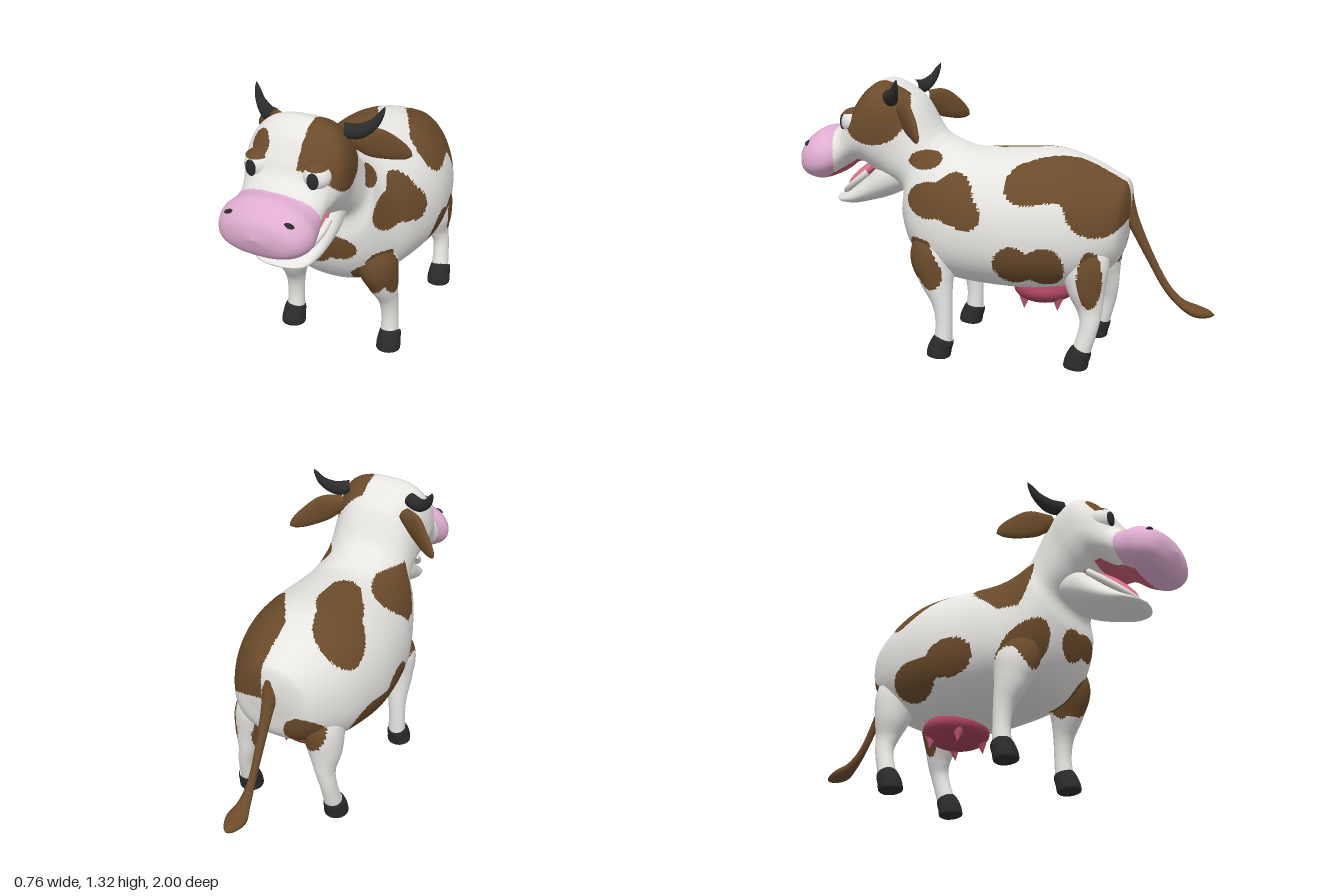
import * as THREE from 'three';

const mat = (name, color) => Object.assign(new THREE.MeshStandardMaterial({ color }), { name });

// Catmull-Rom interpolation of rows of numbers, t in 0..1
function sample(rows, t) {
  const n = rows.length - 1, f = Math.min(t * n, n - 1e-6), i = Math.floor(f), u = f - i;
  const r = k => rows[Math.max(0, Math.min(n, k))];
  return rows[0].map((_, c) => {
    const a = r(i - 1)[c], b = r(i)[c], d = r(i + 1)[c], e = r(i + 2)[c];
    return b + 0.5 * u * (d - a + u * (2 * a - 5 * b + 4 * d - e + u * (3 * (b - d) + e - a)));
  });
}

// Closed-ring skin; paint(x, y, z) picks the material index of each face
function skin(name, ring, nu, nv, materials, paint = () => 0) {
  const pos = [], faces = materials.map(() => []);
  for (let i = 0; i <= nu; i++) {
    const at = ring(i / nu);
    for (let j = 0; j < nv; j++) pos.push(...at(j / nv * Math.PI * 2));
  }
  const mid = (t, k) => (pos[t[0] * 3 + k] + pos[t[1] * 3 + k] + pos[t[2] * 3 + k]) / 3;
  for (let i = 0; i < nu; i++) for (let j = 0; j < nv; j++) {
    const a = i * nv + j, b = i * nv + (j + 1) % nv, c = a + nv, d = b + nv;
    for (const t of [[a, b, c], [b, d, c]]) faces[paint(mid(t, 0), mid(t, 1), mid(t, 2))].push(...t);
  }
  const g = new THREE.BufferGeometry();
  g.setAttribute('position', new THREE.Float32BufferAttribute(pos, 3));
  g.setIndex(faces.flat());
  g.computeVertexNormals();
  let start = 0;
  faces.forEach((f, k) => { if (f.length) g.addGroup(start, f.length, k); start += f.length; });
  const mesh = new THREE.Mesh(g, materials.length > 1 ? materials : materials[0]);
  mesh.name = name;
  return mesh;
}

// Rings spanned by a top and a bottom point: [topZ, topY, bottomZ, bottomY, halfWidth, squareness of the top]
const spow = (v, p) => Math.sign(v) * Math.abs(v) ** p;
const spineRing = rows => {
  const full = rows.map(([zt, yt, zb, yb, w, p = 0.97]) => [zt, yt, zb, yb, w, p]);
  return t => {
    const [zt, yt, zb, yb, w, top] = sample(full, t);
    return a => {
      const sin = Math.sin(a), p = sin > 0 ? top : 0.87;
      const s = spow(sin, p), k = 0.43 + s * (s > 0 ? 0.57 : 0.43);
      return [Math.max(w, 0.001) * spow(Math.cos(a), p), yb + (yt - yb) * k, zb + (zt - zb) * k];
    };
  };
};

// Tapered tube: rows [x, y, z, radius, radius across]
const tubeRing = (rows, ref) => {
  const full = rows.map(([x, y, z, r, q = r]) => [x, y, z, r, q]);
  return t => {
    const p = sample(full, t), p0 = sample(full, Math.max(0, t - 0.01)), p1 = sample(full, Math.min(1, t + 0.01));
    const T = new THREE.Vector3(p1[0] - p0[0], p1[1] - p0[1], p1[2] - p0[2]).normalize();
    const N = ref.clone().cross(T).normalize(), B = T.clone().cross(N);
    const r = Math.max(p[3], 0.001), q = Math.max(p[4], 0.001);
    return a => new THREE.Vector3(p[0], p[1], p[2])
      .addScaledVector(N, r * Math.cos(a)).addScaledVector(B, q * Math.sin(a)).toArray();
  };
};

// Coat patch: merged ovals [u, v, radiusU, radiusV], seen from the side, front or top
const planes = { side: (x, y, z) => [z, y], front: (x, y) => [x, y], top: (x, y, z) => [x, z] };
const patch = (plane, limit, ...ovals) => (x, y, z) => {
  if (!limit(x, y, z)) return false;
  const [u, v] = planes[plane](x, y, z);
  return ovals.reduce((sum, [cu, cv, ru, rv]) => sum + (((u - cu) / ru) ** 2 + ((v - cv) / rv) ** 2 + 1e-6) ** -3, 0) > 1;
};
const left = x => x > 0.09, right = x => x < -0.15;
const patches = [
  // left: neck, shoulder, foreleg, belly, rump, hind leg, face
  patch('side', left, [0.33, 0.93, 0.075, 0.042]),
  patch('side', left, [0.3, 0.755, 0.1, 0.08], [0.17, 0.775, 0.095, 0.11], [0.1, 0.71, 0.07, 0.065]),
  patch('side', x => x > 0.13, [0.33, 0.48, 0.07, 0.085], [0.28, 0.41, 0.055, 0.075]),
  patch('side', left, [-0.12, 0.495, 0.085, 0.095], [-0.265, 0.49, 0.085, 0.1]),
  patch('side', (x, y, z) => x > 0.035 + Math.max(0, z + 0.38) * 0.55,
    [-0.3, 0.91, 0.18, 0.12], [-0.17, 0.85, 0.1, 0.075], [-0.49, 0.77, 0.14, 0.14]),
  patch('side', left, [-0.46, 0.43, 0.055, 0.135]),
  patch('side', x => x > 0.06, [0.58, 1.14, 0.16, 0.15]),
  // chest, left foreleg front and brow
  patch('front', (x, y, z) => z > 0.38, [-0.02, 0.58, 0.08, 0.075], [0.1, 0.61, 0.085, 0.06]),
  patch('front', (x, y, z) => z > 0.22, [-0.23, 0.53, 0.065, 0.12]),
  patch('front', (x, y, z) => z > 0.28, [0.2, 0.42, 0.075, 0.08], [0.26, 0.49, 0.06, 0.085]),
  patch('front', (x, y, z) => z > 0.55, [-0.135, 1.165, 0.045, 0.05]),
  // right: back, shoulder, belly, rear
  patch('top', (x, y) => y > 0.65, [-0.18, -0.28, 0.11, 0.14], [-0.11, -0.13, 0.1, 0.13], [-0.075, -0.02, 0.07, 0.09]),
  patch('top', (x, y) => y > 0.72 && y < 0.95, [-0.21, 0.22, 0.08, 0.16]),
  patch('side', right, [-0.22, 0.48, 0.13, 0.085], [0, 0.53, 0.12, 0.085]),
  patch('front', (x, y, z) => z < -0.44, [-0.14, 0.51, 0.09, 0.1]),
];

export function createModel() {
  const white = mat('white coat', 0xe8e6e3), brown = mat('brown coat', 0x6b4b2b), dark = mat('horn black', 0x2b2b2c);
  const pink = mat('muzzle pink', 0xdfadd0), rose = mat('udder rose', 0xa5415a);
  const coral = mat('teat pink', 0xc45c72), red = mat('tongue pink', 0xdf758a);
  const cow = new THREE.Group();
  cow.name = 'cow';
  const Y = new THREE.Vector3(0, 1, 0), Z = new THREE.Vector3(0, 0, 1);
  const spots = (x, y, z) => (patches.some(p => p(x, y, z)) ? 1 : 0);
  const ball = (name, m, p, s, parent = cow, geo = new THREE.SphereGeometry(1, 28, 20)) => {
    const b = new THREE.Mesh(geo, m);
    b.name = name;
    b.position.set(...p);
    b.scale.set(...s);
    parent.add(b);
    return b;
  };

  // Body, neck and upper head in one skin
  const spine = [
    [-0.61, 0.757, -0.61, 0.755, 0.001], [-0.592, 0.84, -0.585, 0.6, 0.12], [-0.55, 0.87, -0.545, 0.465, 0.2],
    [-0.4, 0.94, -0.4, 0.37, 0.29], [-0.25, 0.98, -0.25, 0.335, 0.335], [-0.08, 0.975, -0.08, 0.325, 0.355],
    [0.12, 0.965, 0.17, 0.338, 0.33], [0.19, 0.98, 0.33, 0.375, 0.295], [0.24, 1, 0.43, 0.48, 0.265],
    [0.28, 1.02, 0.475, 0.62, 0.24], [0.32, 1.06, 0.475, 0.75, 0.213], [0.4, 1.185, 0.57, 0.805, 0.21, 0.85],
    [0.49, 1.245, 0.63, 0.845, 0.225, 0.76], [0.58, 1.272, 0.66, 0.87, 0.23, 0.76], [0.66, 1.225, 0.69, 0.875, 0.22, 0.82],
    [0.72, 1.14, 0.73, 0.865, 0.2, 0.9], [0.76, 1.07, 0.77, 0.84, 0.195], [0.82, 1.035, 0.81, 0.81, 0.205],
    [0.9, 1.027, 0.89, 0.783, 0.216], [0.975, 0.97, 0.965, 0.81, 0.16], [1, 0.897, 1, 0.895, 0.001]];
  cow.add(skin('bodyAndHead', spineRing(spine), 230, 190, [white, brown, pink, coral], (x, y, z) => {
    if (z > 0.66 && z < 0.85 && y < 1.315 - 0.6 * z && Math.abs(x) < 0.14) return 3;
    return z > 0.828 - x * x ? 2 : spots(x, y, z);
  }));

  // Lower jaw with mouth lining, lip and tongue
  cow.add(skin('jaw', spineRing([
    [0.42, 0.95, 0.44, 0.77, 0.15], [0.56, 0.94, 0.55, 0.715, 0.172], [0.635, 0.85, 0.65, 0.685, 0.165],
    [0.7, 0.785, 0.73, 0.668, 0.15], [0.76, 0.735, 0.8, 0.673, 0.125], [0.81, 0.708, 0.832, 0.688, 0.07],
    [0.836, 0.7, 0.838, 0.698, 0.001]]), 40, 36, [white]));
  const mouth = new THREE.Group();
  mouth.name = 'mouth';
  mouth.position.set(0, 0.847, 0.63);
  mouth.rotation.x = 0.66;
  cow.add(mouth);
  ball('mouthLining', coral, [0, 0, 0], [0.145, 0.02, 0.195], mouth);
  ball('tongue', red, [0, 0.015, 0.06], [0.1, 0.03, 0.125], mouth);
  const lip = new THREE.TorusGeometry(0.15, 0.016, 12, 32, Math.PI).rotateX(Math.PI / 2);
  ball('lowerLip', white, [0, 0, 0], [1, 1, 1.35], mouth, lip);

  for (const s of [1, -1]) {
    const tube = (name, rows, ref, nu, nv, mats, paint) =>
      cow.add(skin(name, tubeRing(rows.map(([x, ...r]) => [x * s, ...r]), ref), nu, nv, mats, paint));
    const hoof = (name, x, z) => tube(name, [[x, 0.1, z - 0.022, 0.042], [x, 0.085, z - 0.016, 0.05], [x, 0.05, z, 0.055],
      [x, 0.02, z + 0.008, 0.057], [x, 0.004, z + 0.01, 0.05], [x, 0.002, z + 0.01, 0.001]], Z, 20, 24, [dark]);

    // Legs and hooves
    tube('frontLeg', [[0.17, 0.62, 0.25, 0.06, 0.09], [0.21, 0.49, 0.285, 0.09, 0.115], [0.23, 0.38, 0.27, 0.072, 0.085],
      [0.245, 0.27, 0.24, 0.047, 0.05], [0.25, 0.17, 0.23, 0.04], [0.252, 0.07, 0.235, 0.044]], Z, 60, 44, [white, brown], spots);
    hoof('frontHoof', 0.255, 0.247);
    tube('hindLeg', [[0.12, 0.62, -0.4, 0.07, 0.1], [0.17, 0.5, -0.42, 0.09, 0.115], [0.19, 0.38, -0.435, 0.078, 0.09],
      [0.2, 0.28, -0.455, 0.047, 0.06], [0.215, 0.2, -0.455, 0.038, 0.044], [0.225, 0.07, -0.42, 0.043]],
      Z, 60, 44, [white, brown], spots);
    hoof('hindHoof', 0.228, -0.408);

    // Horns and ears
    tube('horn', [[0.16, 1.212, 0.51, 0.033], [0.22, 1.208, 0.48, 0.032], [0.272, 1.24, 0.45, 0.022], [0.298, 1.285, 0.43, 0.012],
      [0.308, 1.312, 0.42, 0.001]], Z, 24, 20, [dark]);
    tube('ear', [[0.16, 1.16, 0.45, 0.03, 0.035], [0.24, 1.13, 0.4, 0.024, 0.066], [0.31, 1.09, 0.345, 0.018, 0.052],
      [0.36, 1.06, 0.31, 0.011, 0.027], [0.378, 1.048, 0.295, 0.001]], Y, 28, 24, [brown]);

    // Eyes with lids, nostrils
    const eye = new THREE.Group();
    eye.name = 'eye';
    eye.position.set(0.139 * s, 1.08, 0.7);
    eye.rotation.y = 0.12 * s;
    cow.add(eye);
    ball('eyeball', white, [0, 0, 0], [0.062, 0.058, 0.06], eye);
    ball('pupil', dark, [0, 0, 0.056], [0.026, 0.037, 0.01], eye);
    const lid = ball('eyelid', brown, [0, 0, 0], [0.068, 0.068, 0.068], eye, new THREE.SphereGeometry(1, 28, 12, 0, Math.PI * 2, 0, 0.85));
    lid.rotation.x = 0.1;
    ball('nostril', dark, [0.14 * s, 0.966, 0.94], [0.023, 0.009, 0.014]).rotation.z = -0.3 * s;

    // Teats
    for (const z of [-0.12, -0.28]) {
      const teat = ball('teat', coral, [0.095 * s, 0.262, z], [1, 1, 1], cow, new THREE.ConeGeometry(0.034, 0.08, 14).rotateX(Math.PI));
      teat.rotation.z = 0.15 * s;
    }
  }

  // Udder and tail
  ball('udder', rose, [0, 0.315, -0.2], [0.17, 0.072, 0.15]);
  cow.add(skin('tail', tubeRing([[0, 0.77, -0.56, 0.05], [0, 0.66, -0.61, 0.03], [0, 0.5, -0.69, 0.02], [0, 0.36, -0.77, 0.018],
    [0, 0.285, -0.84, 0.03, 0.02], [0, 0.25, -0.91, 0.05, 0.026], [0, 0.24, -0.97, 0.03, 0.018], [0, 0.238, -1, 0.001]], Y), 60, 20, [brown]));
  return cow;
}
